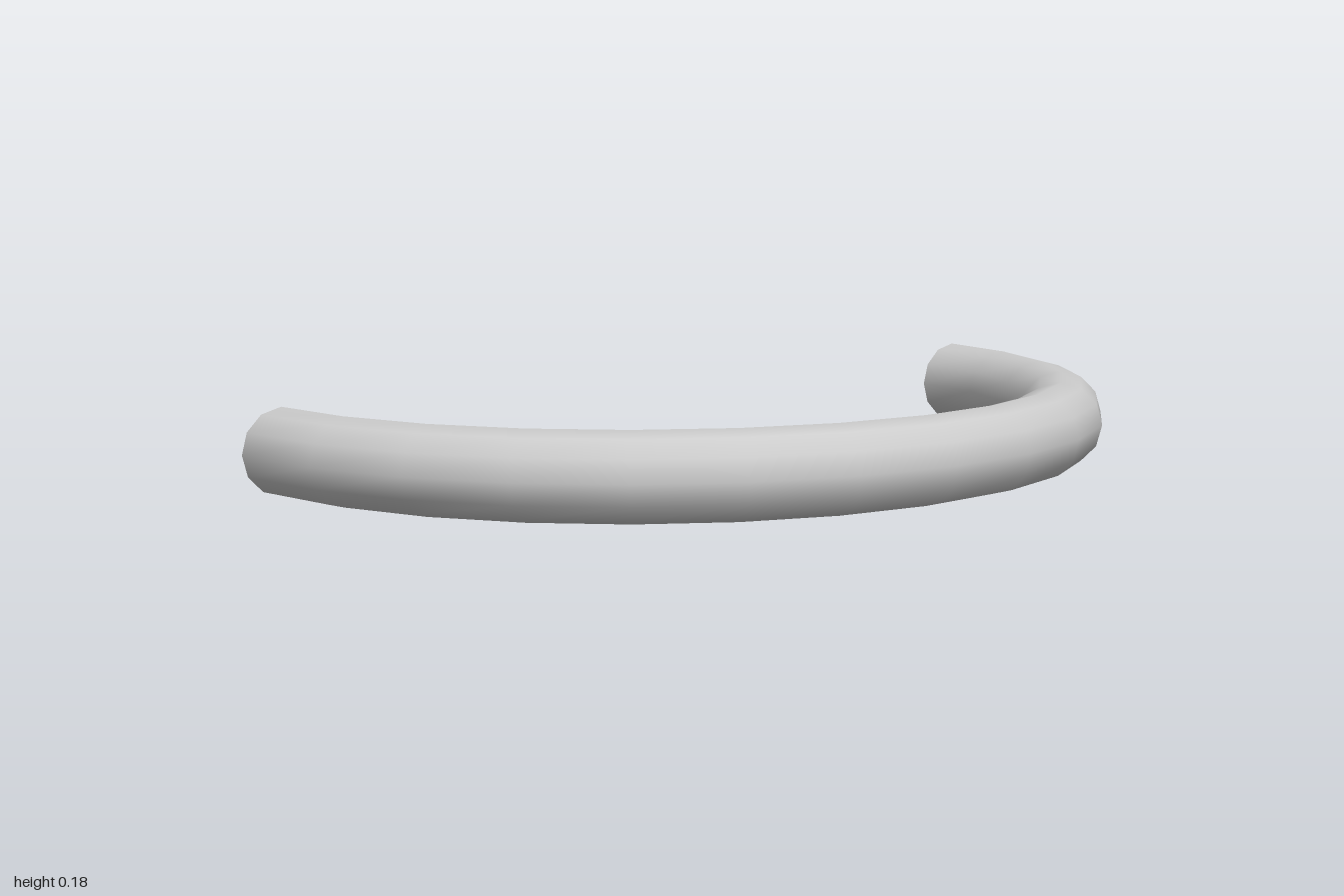
import * as THREE from 'three';

const BEND = 0.91;   // radius of the centre line
const OUTER = 0.09;  // pipe radius
const INNER = 0.066; // bore radius
const SIDES = 12;
const STEPS = 14;

export function createModel() {
  const group = new THREE.Group();
  group.name = 'bentPipe';
  const material = new THREE.MeshStandardMaterial({ color: 0xcccccc });
  const boreMaterial = new THREE.MeshStandardMaterial({ color: 0xcccccc, side: THREE.DoubleSide });

  const add = (name, geometry, mat, x = 0) => {
    const mesh = new THREE.Mesh(geometry, mat);
    mesh.name = name;
    mesh.position.set(x, OUTER, -0.5);
    group.add(mesh);
  };

  // Half-circle bend, lying flat and bulging towards the front
  const bend = (radius) =>
    new THREE.TorusGeometry(BEND, radius, SIDES, STEPS, Math.PI).rotateX(Math.PI / 2);
  add('pipeWall', bend(OUTER), material);
  add('pipeBore', bend(INNER), boreMaterial);

  // Annular rims closing the wall at both open ends, facing back
  for (const [name, side] of [['leftRim', 1], ['rightRim', -1]]) {
    const rim = new THREE.RingGeometry(INNER, OUTER, SIDES, 1).rotateY(Math.PI);
    add(name, rim, material, side * BEND);
  }
  return group;
}
